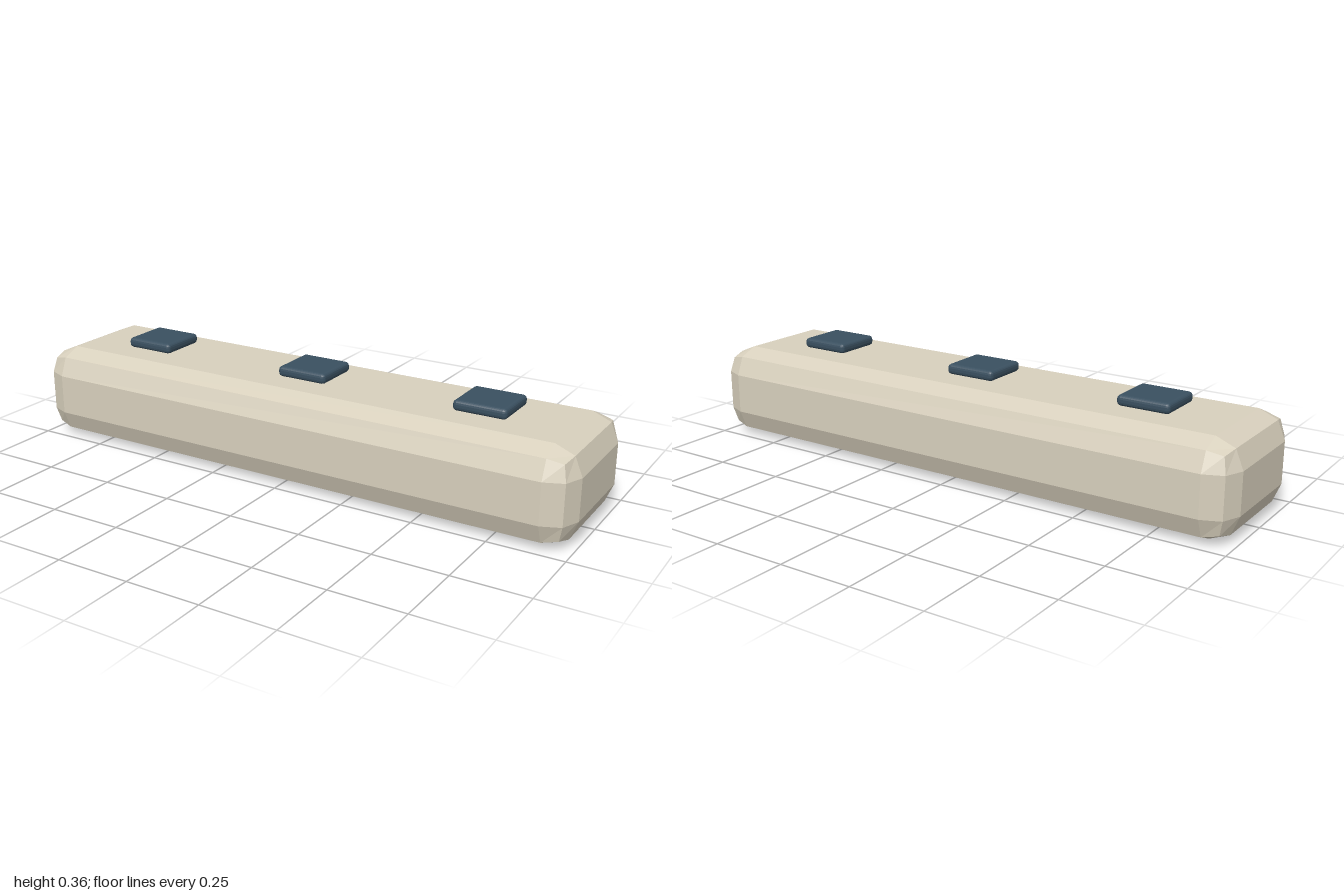
import * as THREE from 'three';
import { RoundedBoxGeometry } from 'three/addons/geometries/RoundedBoxGeometry.js';

export function createModel() {
  const model = new THREE.Group();
  model.name = 'bar';

  const shellMaterial = new THREE.MeshStandardMaterial({ color: 0xd8d0bd, flatShading: true });
  const padMaterial = new THREE.MeshStandardMaterial({ color: 0x3a5060, flatShading: true });

  // Long body with a two-facet bevel on every edge
  const height = 0.318;
  const body = new THREE.Mesh(new RoundedBoxGeometry(2, height, 0.5, 1, 0.09), shellMaterial);
  body.name = 'body';
  body.position.y = height / 2;
  model.add(body);

  // Three flat pads hovering just above the top face
  const padGeometry = new RoundedBoxGeometry(0.18, 0.035, 0.172, 2, 0.013);
  ['rightPad', 'middlePad', 'leftPad'].forEach((name, i) => {
    const pad = new THREE.Mesh(padGeometry, padMaterial);
    pad.name = name;
    pad.position.set((i - 1) * 0.637, 0.342, 0);
    model.add(pad);
  });

  return model;
}
